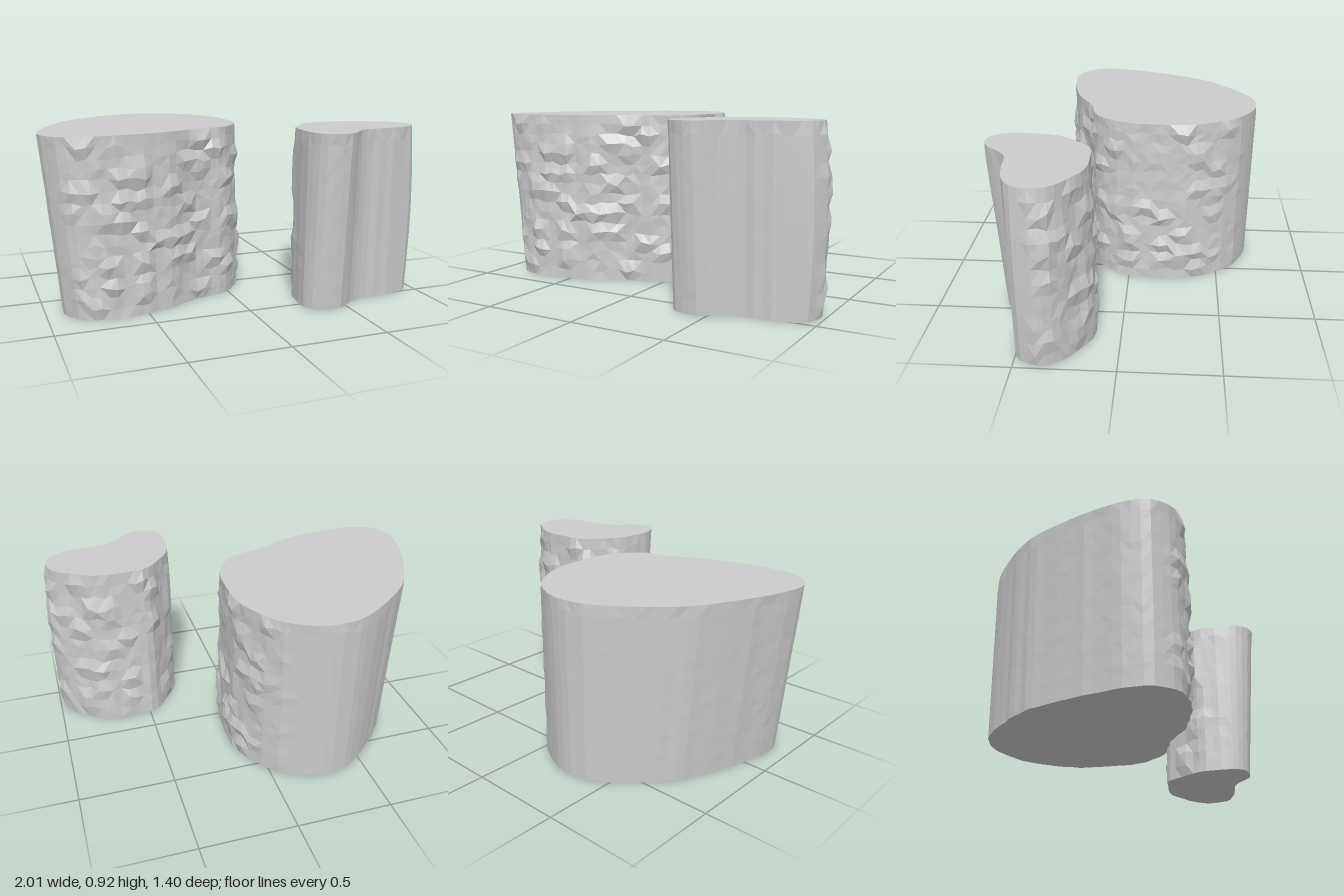
import * as THREE from 'three';

const HEIGHT = 0.92;

// repeatable value from 0 to 1 for a pair of whole numbers
function hash(a, b) {
  const s = Math.sin(a * 127.1 + b * 311.7) * 43758.5453;
  return s - Math.floor(s);
}

// Column lofted from a closed plan outline, with a flat top and base.
// taper moves a point towards the base; roughDir is the most weathered side.
function rockColumn(name, outline, columns, rows, taper, roughDir, seed) {
  const curve = new THREE.CatmullRomCurve3(
    outline.map(([x, z]) => new THREE.Vector3(x, 0, z)), true, 'centripetal');
  const rings = [];
  for (let r = 0; r <= rows; r++) {
    const ring = [];
    const t = r / rows;
    const isEnd = r === 0 || r === rows;
    for (let i = 0; i < columns; i++) {
      const p = curve.getPointAt(i / columns);
      const tan = curve.getTangentAt(i / columns);
      const n = new THREE.Vector3(tan.z, 0, -tan.x);
      const rough = THREE.MathUtils.smoothstep(n.x * roughDir[0] + n.z * roughDir[1], -0.3, 0.6);
      taper(p, 1 - t);
      // vertical ribs, fine grain and scattered chipped ledges
      const rib = (hash(i, seed) - 0.5) * 0.008;
      const grain = (hash(i + seed, r * 3) - 0.5) * 0.008;
      const chip = hash(Math.floor(i / 2) + seed, r + 50) > 0.75 ? 0.016 : 0;
      const push = r === rows ? 0 : rib + rough * (grain + (isEnd ? 0 : chip));
      p.addScaledVector(n, push);
      p.y = t * HEIGHT;
      if (!isEnd) p.y += (hash(i + 9, r + seed) - 0.5) * 0.4 * HEIGHT / rows;
      ring.push(p);
    }
    rings.push(ring);
  }

  const pos = [];
  const tri = (a, b, c) => pos.push(...a, ...b, ...c);
  for (let r = 0; r < rows; r++) {
    for (let i = 0; i < columns; i++) {
      const j = (i + 1) % columns;
      const a = rings[r][i], b = rings[r][j], c = rings[r + 1][i], d = rings[r + 1][j];
      if (hash(i, r + seed) > 0.5) {
        tri(b, a, c);
        tri(b, c, d);
      } else {
        tri(b, a, d);
        tri(a, c, d);
      }
    }
  }
  // flat ends
  for (const [ring, up] of [[rings[0], -1], [rings[rows], 1]]) {
    const flat = ring.map((p) => new THREE.Vector2(p.x, p.z));
    for (const [a, b, c] of THREE.ShapeUtils.triangulateShape(flat, [])) {
      const ab = flat[b].clone().sub(flat[a]);
      const facing = -ab.cross(flat[c].clone().sub(flat[a]));
      if (facing * up > 0) tri(ring[a], ring[b], ring[c]);
      else tri(ring[a], ring[c], ring[b]);
    }
  }

  const geometry = new THREE.BufferGeometry();
  geometry.setAttribute('position', new THREE.Float32BufferAttribute(pos, 3));
  geometry.computeVertexNormals();
  const mesh = new THREE.Mesh(geometry,
    new THREE.MeshStandardMaterial({ color: 0xcccccc, flatShading: true }));
  mesh.name = name;
  return mesh;
}

export function createModel() {
  const group = new THREE.Group();
  group.name = 'rockColumns';
  const clamp = THREE.MathUtils.clamp;

  const largeOutline = [
    [-1, 0.2], [-0.99, 0.11], [-0.95, -0.03], [-0.88, -0.2], [-0.77, -0.4], [-0.6, -0.56],
    [-0.41, -0.68], [-0.28, -0.7], [-0.17, -0.68], [-0.03, -0.59], [0.04, -0.49], [0.1, -0.36],
    [0.115, -0.2], [0.1, 0], [0.05, 0.1], [-0.02, 0.18], [-0.2, 0.23], [-0.38, 0.32],
    [-0.58, 0.365], [-0.8, 0.38], [-0.92, 0.34], [-0.98, 0.27],
  ];
  // the left side leans in towards the base, the right side swells slightly
  const largeTaper = (p, down) => {
    const x = p.x;
    p.x += 0.09 * down * clamp((-0.3 - x) / 0.7, 0, 1);
    p.x += 0.015 * down * clamp((x + 0.1) / 0.2, 0, 1);
    p.z += 0.015 * down * clamp((-0.3 - p.z) / 0.4, 0, 1);
  };
  group.add(rockColumn('largeColumn', largeOutline, 72, 17, largeTaper, [0.75, 0.65], 3));

  const smallOutline = [
    [0.29, 0.6], [0.29, 0.46], [0.31, 0.35], [0.38, 0.25], [0.46, 0.17], [0.6, 0.15],
    [0.75, 0.16], [0.86, 0.22], [0.95, 0.29], [0.975, 0.38], [0.95, 0.46], [0.88, 0.51],
    [0.75, 0.54], [0.6, 0.56], [0.54, 0.61], [0.47, 0.68], [0.4, 0.7], [0.33, 0.67],
  ];
  // the front lobe recedes towards the base, the right side bulges midway
  const smallTaper = (p, down) => {
    const z = p.z;
    p.z -= 0.07 * down * clamp((z - 0.5) / 0.2, 0, 1);
    p.z -= 0.02 * down * clamp((0.3 - z) / 0.15, 0, 1);
    p.x += 0.02 * Math.sin(Math.PI * down) * clamp((p.x - 0.8) / 0.15, 0, 1);
  };
  group.add(rockColumn('smallColumn', smallOutline, 46, 14, smallTaper, [0.2, -0.95], 8));

  return group;
}
